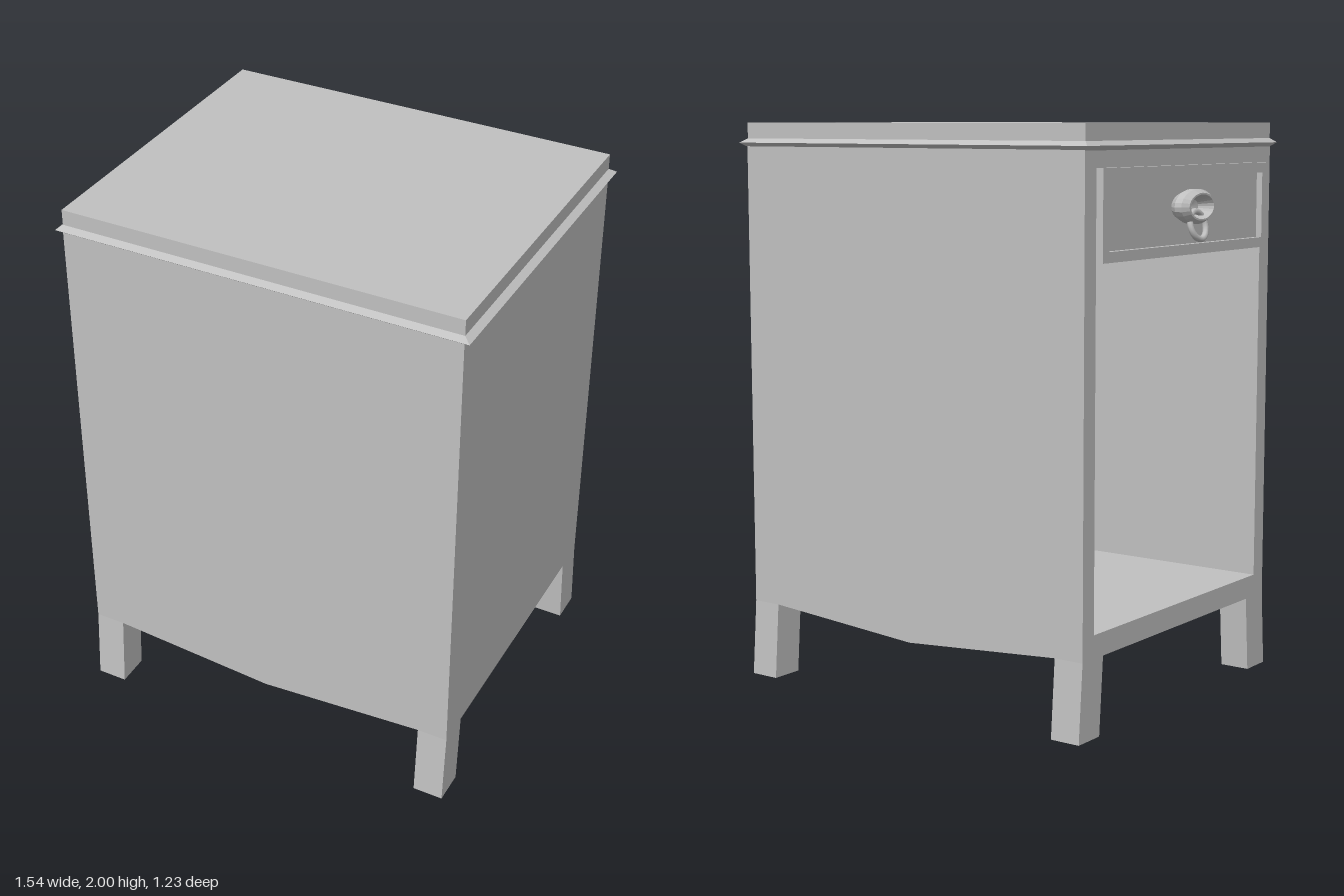
import * as THREE from 'three';

const X0 = -0.7, X1 = 0.74, MID = 0.02, Z = 0.595, ZI = 0.53;

export function createModel() {
  const group = new THREE.Group();
  const grey = new THREE.MeshStandardMaterial({ color: 0xc0c0c0 });
  grey.name = 'plain grey';

  const add = (name, geometry) => {
    const mesh = new THREE.Mesh(geometry, grey);
    mesh.name = name;
    group.add(mesh);
    return mesh;
  };
  const box = (name, x0, x1, y0, y1, z0, z1) => {
    const g = new THREE.BoxGeometry(x1 - x0, y1 - y0, z1 - z0);
    g.translate((x0 + x1) / 2, (y0 + y1) / 2, (z0 + z1) / 2);
    return add(name, g);
  };
  // Box whose upper and lower rectangles differ: [x0, x1, z0, z1]
  const taper = (name, y0, low, y1, high) => {
    const g = new THREE.BoxGeometry(1, 1, 1);
    const p = g.attributes.position;
    for (let i = 0; i < p.count; i++) {
      const up = p.getY(i) > 0, r = up ? high : low;
      p.setXYZ(i, p.getX(i) > 0 ? r[1] : r[0], up ? y1 : y0, p.getZ(i) > 0 ? r[3] : r[2]);
    }
    g.computeVertexNormals();
    return add(name, g);
  };
  // Panel with a shallow pointed lower edge, extruded along z
  const panel = (name, x1, top, z0, z1) => {
    const s = new THREE.Shape();
    s.moveTo(X0, 0.27);
    s.lineTo(-0.59, 0.27);
    s.lineTo(MID, 0.225);
    s.lineTo(0.63, 0.27);
    s.lineTo(X1, 0.27);
    s.lineTo(x1, top);
    s.lineTo(X0, top);
    const g = new THREE.ExtrudeGeometry(s, { depth: z1 - z0, bevelEnabled: false });
    g.translate(0, 0, z0);
    return add(name, g);
  };

  // Cabinet shell, open on the -x side below the drawer
  panel('sidePanelFront', X1, 1.93, ZI, Z);
  panel('sidePanelBack', X1, 1.93, -Z, -ZI);
  panel('floor', X1, 0.35, -ZI, ZI);
  box('rearPanel', 0.675, X1, 0.35, 1.56, -ZI, ZI);
  box('drawerCase', X0, X1, 1.56, 1.93, -ZI, ZI);

  // Top slab and its pointed edge moulding
  box('topSlab', X0, X1, 1.93, 2, -0.592, 0.592);
  const inner = [X0, X1, -0.592, 0.592], outer = [-0.719, 0.764, -0.612, 0.612];
  taper('mouldingLower', 1.915, inner, 1.93, outer);
  taper('mouldingUpper', 1.93, outer, 1.945, inner);

  // Legs splay outwards along z
  for (const s of [-1, 1]) {
    for (const [a, b] of [[X0, -0.59], [0.63, X1]]) {
      const foot = [0.495 * s, 0.615 * s].sort((m, n) => m - n);
      const knee = [0.475 * s, 0.595 * s].sort((m, n) => m - n);
      taper('leg', 0, [a, b, ...foot], 0.27, [a, b, ...knee]);
    }
  }

  // Raised drawer frame around a recessed front
  const rect = (T, w, h) => {
    const s = new T();
    s.moveTo(-w, -h);
    s.lineTo(w, -h);
    s.lineTo(w, h);
    s.lineTo(-w, h);
    s.closePath();
    return s;
  };
  const frame = rect(THREE.Shape, ZI, 0.15);
  frame.holes.push(rect(THREE.Path, ZI - 0.035, 0.115));
  const frameGeo = new THREE.ExtrudeGeometry(frame, { depth: 0.027, bevelEnabled: false });
  frameGeo.rotateY(-Math.PI / 2);
  frameGeo.translate(X0 + 0.001, 1.71, 0);
  add('drawerFrame', frameGeo);
  box('drawerFront', X0 - 0.004, X0, 1.595, 1.825, -0.495, 0.495);

  // Oval knob with a dished face
  const profile = [[0, 0.025], [0.045, 0.03], [0.075, 0.075], [0.085, 0.075],
    [0.107, 0.056], [0.107, 0.03], [0.085, 0.004], [0, 0.004]]
    .map(([r, y]) => new THREE.Vector2(r, y)).reverse();
  const knobGeo = new THREE.LatheGeometry(profile, 24).toNonIndexed();
  knobGeo.scale(1, 1, 0.55);
  knobGeo.rotateX(Math.PI / 2);
  knobGeo.rotateY(-Math.PI / 2);
  knobGeo.computeVertexNormals();
  const knob = add('drawerKnob', knobGeo);
  knob.position.set(X0, 1.722, 0);

  // Ring pull hanging from the knob
  const ringGeo = new THREE.TorusGeometry(0.048, 0.011, 8, 24);
  ringGeo.rotateY(Math.PI / 2);
  ringGeo.rotateZ(-0.25);
  const ring = add('ringPull', ringGeo);
  ring.position.set(-0.757, 1.66, 0);

  return group;
}
